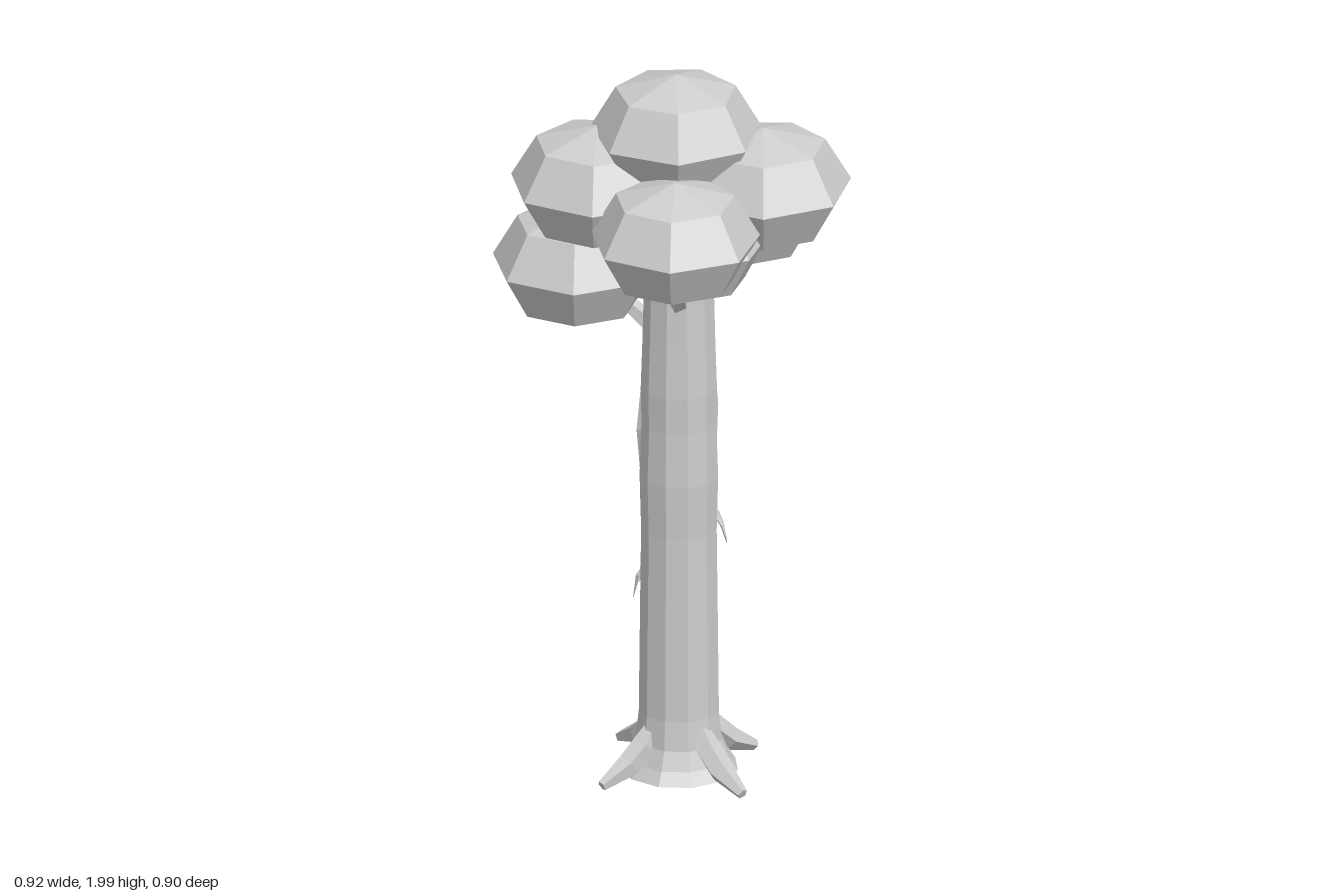
import * as THREE from 'three';

const grey = new THREE.MeshStandardMaterial({ color: 0xcccccc, flatShading: true });
grey.name = 'light grey';
const V = (x, y, z) => new THREE.Vector3(x, y, z);

// Tapered limb lofted along a few points, with closed ends
function limb(name, points, radii, sides = 5) {
  const pos = [], index = [], n = points.length;
  points.forEach((p, i) => {
    const dir = points[Math.min(i + 1, n - 1)].clone().sub(points[Math.max(i - 1, 0)]).normalize();
    const u = new THREE.Vector3().crossVectors(dir, Math.abs(dir.y) > 0.95 ? V(1, 0, 0) : V(0, 1, 0)).normalize();
    const v = new THREE.Vector3().crossVectors(dir, u);
    for (let j = 0; j < sides; j++) {
      const a = (j / sides) * Math.PI * 2;
      const q = p.clone().addScaledVector(u, Math.cos(a) * radii[i]).addScaledVector(v, Math.sin(a) * radii[i]);
      pos.push(q.x, q.y, q.z);
    }
  });
  for (let i = 0; i < n - 1; i++) {
    for (let j = 0; j < sides; j++) {
      const a = i * sides + j, b = i * sides + (j + 1) % sides;
      index.push(a, b, b + sides, a, b + sides, a + sides);
    }
  }
  const last = (n - 1) * sides;
  for (let j = 1; j < sides - 1; j++) {
    index.push(0, j + 1, j, last, last + j, last + j + 1);
  }
  const g = new THREE.BufferGeometry();
  g.setAttribute('position', new THREE.Float32BufferAttribute(pos, 3));
  g.setIndex(index);
  g.computeVertexNormals();
  const m = new THREE.Mesh(g, grey);
  m.name = name;
  return m;
}

export function createModel() {
  const tree = new THREE.Group();
  tree.name = 'tree';
  const cx = 0.01, cz = -0.025;

  // Trunk with a flared foot
  const profile = [[0, 0.015], [0.158, 0.015], [0.135, 0.05], [0.115, 0.1], [0.107, 0.18], [0.104, 0.45],
    [0.101, 0.7], [0.105, 0.85], [0.1, 1.0], [0.102, 1.1], [0.097, 1.25], [0.092, 1.45], [0.08, 1.6], [0, 1.62]];
  const trunk = new THREE.Mesh(new THREE.LatheGeometry(profile.map(p => new THREE.Vector2(...p)), 11), grey);
  trunk.name = 'trunk';
  trunk.position.set(cx, 0, cz);
  tree.add(trunk);

  // Four spreading roots
  for (const [x, z] of [[0.13, 0.205], [0.235, -0.12], [-0.1, -0.25], [-0.22, 0.07]]) {
    const at = (k, y) => V(cx + (x - cx) * k, y, cz + (z - cz) * k);
    tree.add(limb('root', [at(0.32, 0.155), at(0.45, 0.1), at(0.66, 0.055), at(1, 0.016)], [0.02, 0.036, 0.034, 0.015]));
  }

  // Foliage clumps: x, y, z, radius, turn in degrees
  const clumps = [
    [0, 1.83, -0.02, 0.23, -2],
    [-0.06, 1.63, 0.235, 0.228, 3],
    [0.225, 1.68, 0.035, 0.236, 0],
    [0.22, 1.54, -0.195, 0.228, 0],
    [0.02, 1.57, -0.22, 0.225, 8],
    [-0.2, 1.68, -0.075, 0.237, 3],
    [-0.245, 1.44, -0.12, 0.23, 2],
    [0, 1.58, 0.12, 0.218, 3],
  ];
  clumps.forEach(([x, y, z, r, turn], i) => {
    const g = new THREE.SphereGeometry(r, 7, 4);
    g.scale(1, 0.165 / r, 1);
    const m = new THREE.Mesh(g, grey);
    m.name = 'foliage';
    m.position.set(x, y, z);
    m.rotation.y = Math.PI - THREE.MathUtils.degToRad(turn);
    tree.add(m);
    // Branch reaching into each outer clump
    if (i > 0) {
      const base = i === 6 ? 1.24 : 1.33;
      tree.add(limb('branch', [V(cx + x * 0.15, base, cz + z * 0.15),
        V(cx + x * 0.45, base + 0.07, cz + z * 0.45), V(x, y - 0.03, z)], [0.03, 0.024, 0.014]));
    }
  });

  // Strips of bark running down the trunk; a is the angle from x towards z
  const around = (deg, r, y) => {
    const a = THREE.MathUtils.degToRad(deg);
    return V(cx + Math.cos(a) * r, y, cz + Math.sin(a) * r);
  };
  for (const [a, top, low] of [[-8, 1.2, 0.86], [-28, 1.32, 0.84], [-50, 1.22, 0.78], [-160, 1.15, 0.8]]) {
    tree.add(limb('barkStrip', [around(a, 0.093, top), around(a - 5, 0.1, (top + low) / 2), around(a + 3, 0.098, low)],
      [0.004, 0.013, 0.003], 4));
  }

  // Hanging moss spikes on two sides
  const moss = (deg, y, length) => tree.add(limb('mossSpike',
    [around(deg, 0.098, y), around(deg, 0.113, y - length * 0.35), around(deg, 0.127, y - length)], [0.009, 0.007, 0.001], 3));
  for (let i = 0; i < 5; i++) moss(22 - i * 17, 0.735, i % 2 ? 0.09 : 0.065);
  for (let i = 0; i < 3; i++) moss(-150 + i * 16, 0.58, i % 2 ? 0.07 : 0.1);

  return tree;
}
